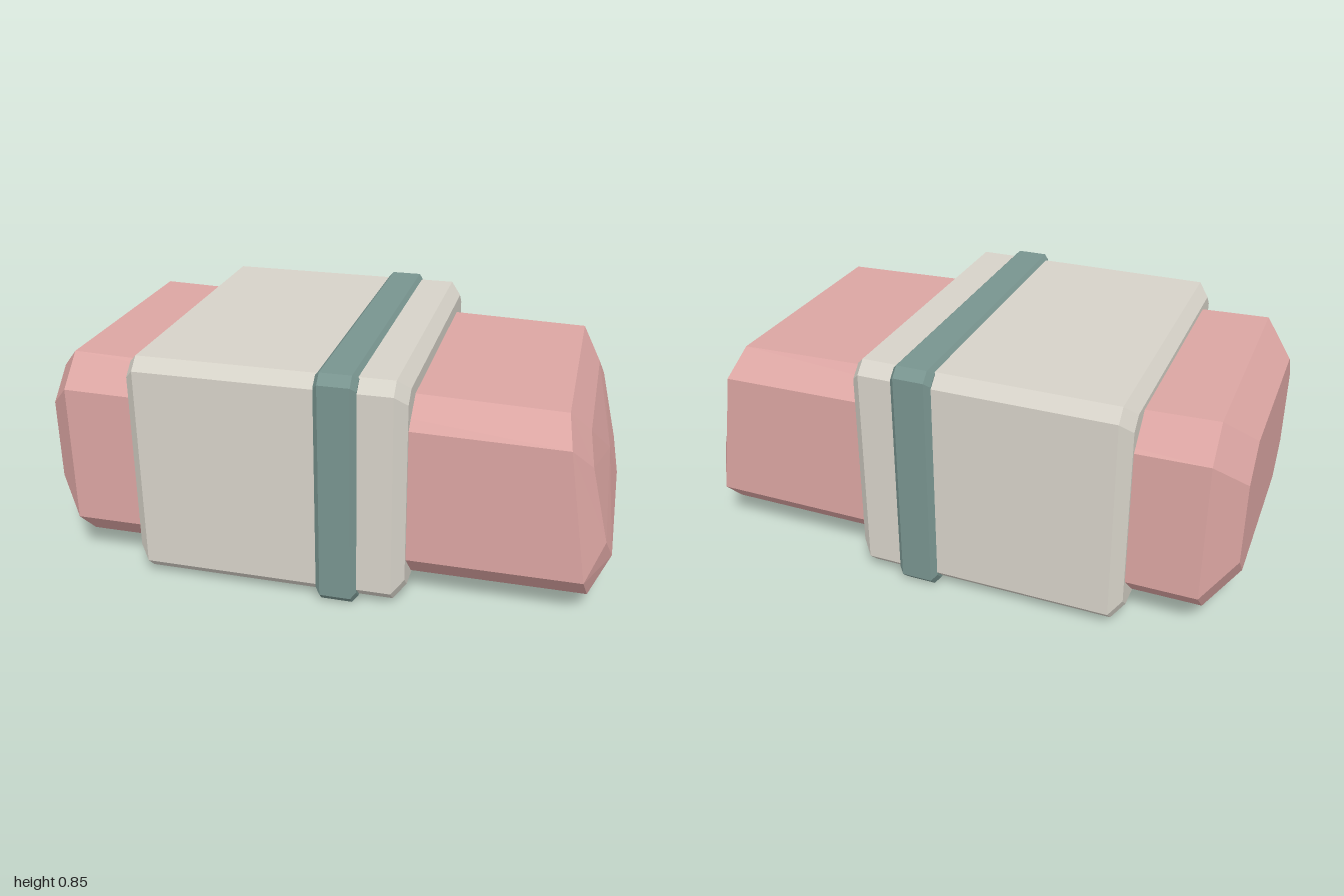
import * as THREE from 'three';

// Eight-sided ring from four [x, y, z] corners on the +z side (top to bottom), mirrored to -z
const ring = (half) => [...half, ...half.map(([x, y, z]) => [x, y, -z]).reverse()];

// Rectangle with cut corners at a constant x
const cutRect = (x, y0, y1, z, c) =>
  ring([[x, y1, z - c], [x, y1 - c, z], [x, y0 + c, z], [x, y0, z - c]]);

// Skin the rings from -x to +x; each end is a fan around a centre point
function loft(rings, startCentre, endCentre) {
  const pos = [];
  const tri = (a, b, c) => pos.push(...a, ...b, ...c);
  const n = rings[0].length;
  const last = rings[rings.length - 1];
  for (let j = 0; j < n; j++) {
    const k = (j + 1) % n;
    tri(startCentre, rings[0][k], rings[0][j]);
    for (let i = 0; i < rings.length - 1; i++) {
      const p = rings[i], q = rings[i + 1];
      tri(p[j], p[k], q[k]);
      tri(p[j], q[k], q[j]);
    }
    tri(endCentre, last[j], last[k]);
  }
  const g = new THREE.BufferGeometry();
  g.setAttribute('position', new THREE.Float32BufferAttribute(pos, 3));
  g.computeVertexNormals(); // unshared corners give flat facets
  return g;
}

// Chamfered box with bevel b along x and corner cut c
function chamferBox(x0, x1, y0, y1, z, b, c) {
  const ym = (y0 + y1) / 2;
  return loft([
    cutRect(x0, y0 + b, y1 - b, z - b, c),
    cutRect(x0 + b, y0, y1, z, c),
    cutRect(x1 - b, y0, y1, z, c),
    cutRect(x1, y0 + b, y1 - b, z - b, c),
  ], [x0, ym, 0], [x1, ym, 0]);
}

function material(name, color) {
  const m = new THREE.MeshStandardMaterial({ color });
  m.name = name;
  return m;
}

export function createModel() {
  const model = new THREE.Group();
  model.name = 'eraser';
  const add = (name, geometry, mat) => {
    const mesh = new THREE.Mesh(geometry, mat);
    mesh.name = name;
    model.add(mesh);
  };

  // Rubber block: square bevelled end at -x, worn slanted end at +x
  add('rubberBlock', loft([
    cutRect(-1, 0.175, 0.68, 0.42, 0.105),
    cutRect(-0.895, 0.07, 0.783, 0.525, 0.105),
    ring([[0.82, 0.735, 0.42], [0.84, 0.65, 0.525], [0.915, 0.175, 0.525], [0.93, 0.07, 0.42]]),
    ring([[0.89, 0.635, 0.32], [0.91, 0.55, 0.42], [0.975, 0.28, 0.42], [1, 0.175, 0.32]]),
  ], [-1, 0.43, 0], [0.958, 0.43, 0]), material('rubber pink', 0xdba5a2));

  // Card sleeve around the block
  add('sleeve', chamferBox(-0.65, 0.32, 0.02, 0.836, 0.576, 0.04, 0.042),
    material('sleeve grey', 0xd6d2c8));

  // Coloured band around the sleeve
  add('band', chamferBox(0.015, 0.16, 0, 0.85, 0.594, 0.018, 0.032),
    material('band teal', 0x78948f));

  return model;
}
